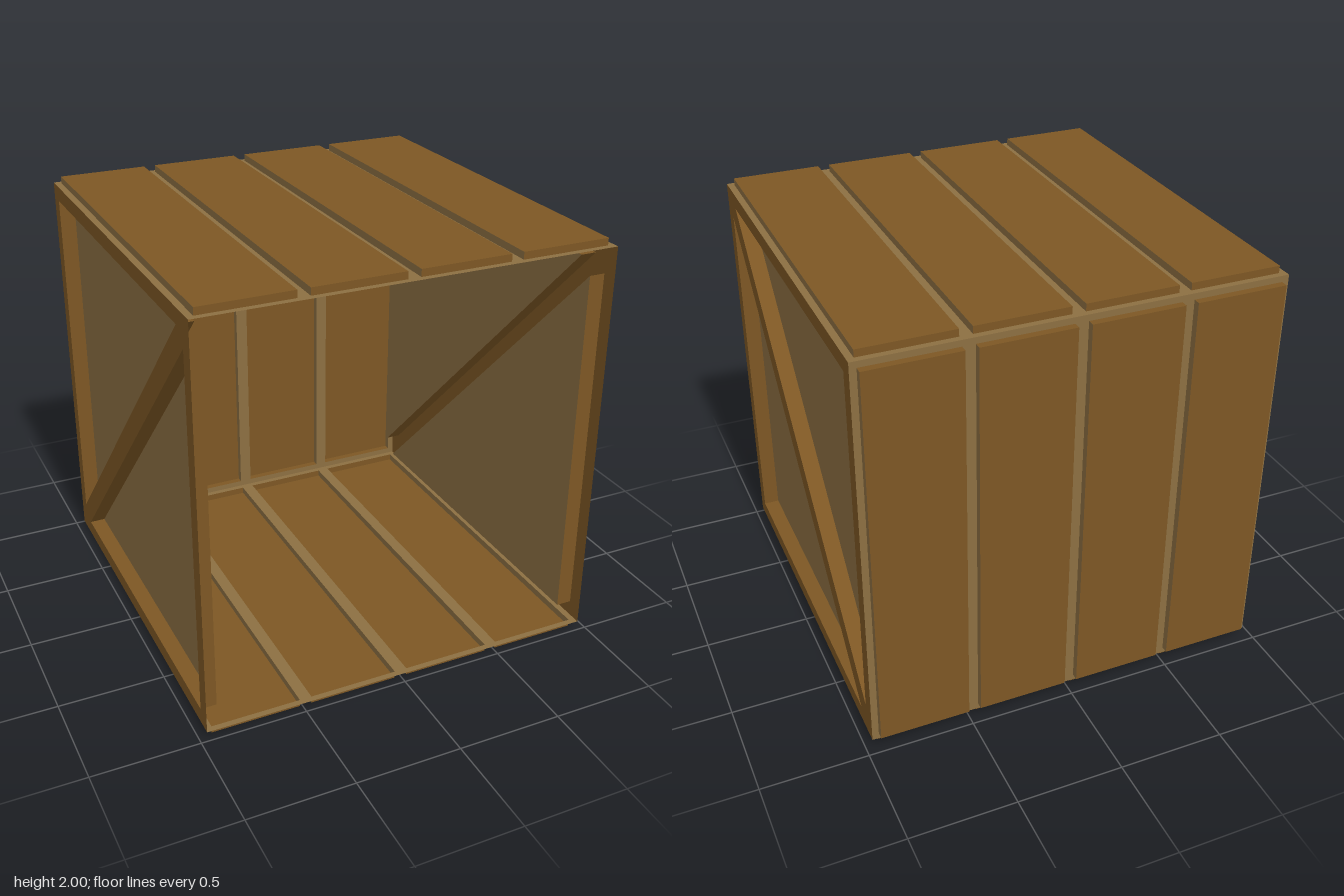
import * as THREE from 'three';

const H = 0.966;      // half size of the box shell
const RAISE = 0.034;  // how far the planks stand out
const POCKET = 0.075; // how deep the side panels are sunk

const brown = new THREE.MeshStandardMaterial({ color: 0x7d5724, side: THREE.DoubleSide });
const light = new THREE.MeshStandardMaterial({ color: 0x8c6f42, side: THREE.DoubleSide });

const vectors = (points) => points.map(([x, y]) => new THREE.Vector2(x, y));

function addMesh(group, name, geometry, material) {
  const mesh = new THREE.Mesh(geometry, material);
  mesh.name = name;
  group.add(mesh);
  return mesh;
}

// Flat square sheet with cut-outs
function sheet(holes) {
  const shape = new THREE.Shape(vectors([[-H, -H], [H, -H], [H, H], [-H, H]]));
  for (const hole of holes) shape.holes.push(new THREE.Path(vectors(hole)));
  return new THREE.ShapeGeometry(shape);
}

// Wall from edge a-b at z = 0 to the same edge at z = depth
function wall([ax, ay], [bx, by], depth) {
  const geometry = new THREE.BufferGeometry();
  const corners = [ax, ay, 0, bx, by, 0, bx, by, depth, ax, ay, 0, bx, by, depth, ax, ay, depth];
  geometry.setAttribute('position', new THREE.Float32BufferAttribute(corners, 3));
  geometry.computeVertexNormals();
  return geometry;
}

// Outline (counter-clockwise) pushed out or in: a face and its walls, open behind
function pushed(name, outline, depth, faceMaterial, wallMaterial) {
  const group = new THREE.Group();
  group.name = name;
  const face = new THREE.ShapeGeometry(new THREE.Shape(vectors(outline)));
  addMesh(group, name + 'Face', face.translate(0, 0, depth), faceMaterial);
  outline.forEach((a, i) => {
    const b = outline[(i + 1) % outline.length];
    addMesh(group, name + 'Edge', wall(a, b, depth), wallMaterial(a, b));
  });
  return group;
}

// Panel with four raised planks, facing +z
function plankPanel(name) {
  const group = new THREE.Group();
  group.name = name;
  const spans = [[-0.935, -0.512], [-0.455, -0.03], [0.03, 0.455], [0.512, 0.935]];
  const outlines = spans.map(([l, r]) => [[l, -0.937], [r, -0.937], [r, 0.937], [l, 0.937]]);
  addMesh(group, 'backing', sheet(outlines), light);
  for (const outline of outlines) {
    // long edges are lighter than the plank ends
    group.add(pushed('plank', outline, RAISE, brown, (a, b) => (a[0] === b[0] ? light : brown)));
  }
  return group;
}

// Framed side with a diagonal brace between two sunken triangles, facing +z
function bracedSide(name) {
  const group = new THREE.Group();
  group.name = name;
  const o = 0.893, c = 0.82;
  const triangles = [
    [[-o, -o], [c, -o], [-o, c]],
    [[o, o], [-c, o], [o, -c]],
  ];
  addMesh(group, 'frameAndBrace', sheet(triangles), brown);
  for (const triangle of triangles) {
    group.add(pushed('sunkenPanel', triangle, -POCKET, light, () => brown));
  }
  return group;
}

export function createModel() {
  const crate = new THREE.Group();
  crate.name = 'crate';

  // Planked top, bottom and back; the front stays open
  const top = plankPanel('top');
  top.rotation.x = -Math.PI / 2;
  top.position.y = H;
  const bottom = plankPanel('bottom');
  bottom.rotation.x = Math.PI / 2;
  bottom.position.y = -H;
  const back = plankPanel('back');
  back.rotation.y = Math.PI;
  back.position.z = -H;
  crate.add(top, bottom, back);

  // Braced sides, mirrored
  for (const s of [1, -1]) {
    const side = bracedSide(s > 0 ? 'leftSide' : 'rightSide');
    side.rotation.y = Math.PI / 2;
    side.position.x = H;
    const mirror = new THREE.Group();
    mirror.name = side.name + 'Mount';
    mirror.scale.x = s;
    mirror.add(side);
    crate.add(mirror);
  }

  crate.position.set(0, 1, 0.017);
  const model = new THREE.Group();
  model.name = 'openCrate';
  model.add(crate);
  return model;
}
